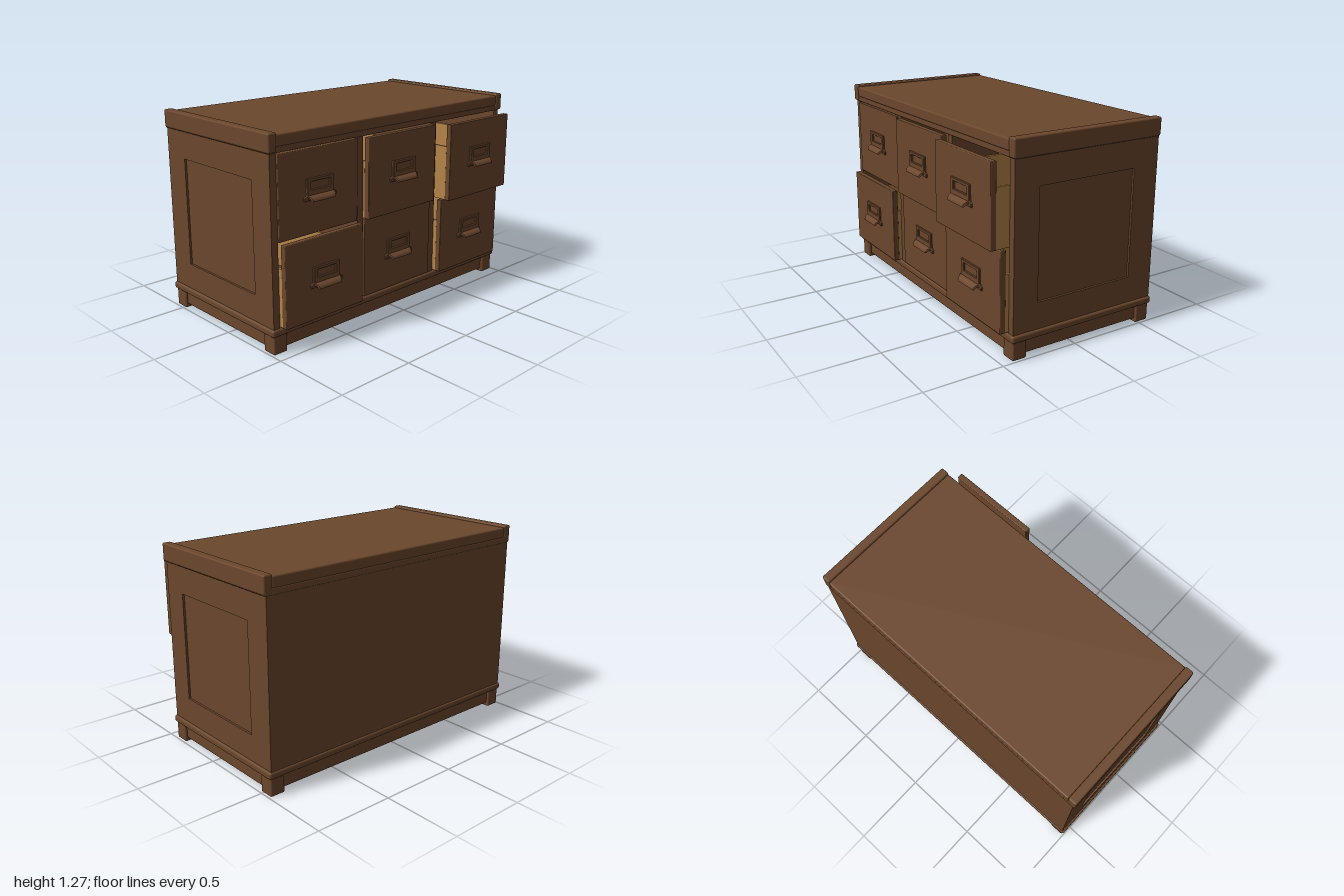
import * as THREE from 'three';
import { RoundedBoxGeometry } from 'three/addons/geometries/RoundedBoxGeometry.js';

export function createModel() {
  const wood = new THREE.MeshStandardMaterial({ color: 0x6b472d });
  wood.name = 'brown wood';
  const lining = new THREE.MeshStandardMaterial({ color: 0xb38449 });
  lining.name = 'pale wood';
  const model = new THREE.Group();
  model.name = 'drawerCabinet';

  const add = (parent, name, geometry, material = wood) => {
    const mesh = new THREE.Mesh(geometry, material);
    mesh.name = name;
    parent.add(mesh);
    return mesh;
  };
  // Box given by its limits on each axis; r rounds the edges
  const block = (parent, name, [x0, x1], [y0, y1], [z0, z1], r = 0, material = wood) => {
    const size = [x1 - x0, y1 - y0, z1 - z0];
    const geometry = r ? new RoundedBoxGeometry(...size, 2, r) : new THREE.BoxGeometry(...size);
    const mesh = add(parent, name, geometry, material);
    mesh.position.set((x0 + x1) / 2, (y0 + y1) / 2, (z0 + z1) / 2);
    return mesh;
  };
  const span = (s, a, b) => (s > 0 ? [a, b] : [-b, -a]);
  const rect = (path, x0, x1, y0, y1) =>
    path.moveTo(x0, y0).lineTo(x1, y0).lineTo(x1, y1).lineTo(x0, y1).closePath();

  // Carcass
  const back = -0.577, front = 0.428;
  block(model, 'backPanel', [-0.985, 0.985], [0.15, 1.18], [back, back + 0.03]);
  block(model, 'carcassFloor', [-0.95, 0.95], [0.11, 0.157], [back + 0.01, 0.42]);
  block(model, 'shelf', [-0.95, 0.95], [0.651, 0.661], [back + 0.02, 0.395]);
  block(model, 'topMoulding', [-0.995, 0.995], [1.16, 1.2], [-0.58, 0.434], 0.008);
  block(model, 'topSlab', [-0.945, 0.945], [1.195, 1.263], [-0.58, 0.44], 0.01);
  block(model, 'baseMoulding', [-1, 1], [0.112, 0.157], [-0.586, 0.44], 0.014);

  for (const s of [1, -1]) {
    block(model, 'topEndCap', span(s, 0.943, 1), [1.165, 1.274], [-0.58, 0.443], 0.01);
    block(model, 'sideCore', span(s, 0.942, 0.973), [0.15, 1.17], [back, front]);
    block(model, 'divider', span(s, 0.3, 0.345), [0.15, 1.17], [back + 0.02, front]);

    // Frame around the recessed side panel
    const frame = new THREE.Shape();
    rect(frame, Math.min(-s * back, -s * front), Math.max(-s * back, -s * front), 0.15, 1.17);
    const hole = new THREE.Path();
    rect(hole, Math.min(0.4 * s, -0.265 * s), Math.max(0.4 * s, -0.265 * s), 0.32, 0.992);
    frame.holes.push(hole);
    const side = new THREE.ExtrudeGeometry(frame, { depth: 0.014, bevelEnabled: false });
    side.rotateY(s * Math.PI / 2);
    add(model, 'sideFrame', side).position.x = s * 0.972;

    // Feet and plinth rails
    for (const z of [[0.335, 0.43], [-0.575, -0.48]])
      block(model, 'foot', span(s, 0.892, 0.988), [0, 0.12], z, 0.01);
    block(model, 'sideRail', span(s, 0.925, 0.973), [0.02, 0.12], [-0.53, 0.385], 0.015);
  }
  block(model, 'frontRail', [-0.94, 0.94], [0.02, 0.12], [0.365, 0.413], 0.015);
  block(model, 'backRail', [-0.94, 0.94], [0.02, 0.12], [-0.56, -0.512], 0.015);

  // Label holder: a plate with a window
  const holder = new THREE.Shape();
  holder.moveTo(-0.115, -0.06).lineTo(0.115, -0.06).lineTo(0.115, -0.045).lineTo(0.095, -0.03)
    .lineTo(0.095, 0.06).lineTo(-0.095, 0.06).lineTo(-0.095, -0.03).lineTo(-0.115, -0.045).closePath();
  const opening = new THREE.Path();
  rect(opening, -0.073, 0.073, -0.005, 0.047);
  holder.holes.push(opening);
  const holderGeometry = new THREE.ExtrudeGeometry(holder, {
    depth: 0.009, bevelEnabled: true, bevelThickness: 0.004, bevelSize: 0.003, bevelSegments: 1,
  });

  // Cup pull: a quarter-ellipse shell, narrower towards the front
  const cup = new THREE.Shape();
  cup.moveTo(0, 0).lineTo(0, 0.033);
  for (let i = 1; i <= 8; i++) {
    const a = i / 8 * Math.PI / 2;
    cup.lineTo(0.044 * Math.sin(a), 0.033 * Math.cos(a));
  }
  cup.lineTo(0.037, 0);
  cup.lineTo(0.02, 0.02);
  cup.closePath();
  const cupGeometry = new THREE.ExtrudeGeometry(cup, { depth: 0.21, bevelEnabled: false });
  cupGeometry.translate(0, 0, -0.105).rotateY(-Math.PI / 2);
  const p = cupGeometry.attributes.position;
  for (let i = 0; i < p.count; i++) p.setX(i, p.getX(i) * (1 - 5 * p.getZ(i)));
  cupGeometry.computeVertexNormals();

  // Drawers: [column x, bottom y, front z]
  const drawers = [
    [-0.645, 0.661, 0.437], [0, 0.661, 0.471], [0.645, 0.661, 0.547],
    [-0.645, 0.16, 0.484], [0, 0.16, 0.437], [0.645, 0.16, 0.484],
  ];
  for (const [x, y, z] of drawers) {
    const drawer = new THREE.Group();
    drawer.name = 'drawer';
    drawer.position.set(x, y, z);
    model.add(drawer);
    block(drawer, 'drawerFront', [-0.294, 0.294], [0, 0.493], [-0.037, 0], 0.005);
    for (const s of [1, -1])
      block(drawer, 'drawerSide', span(s, 0.276, 0.292), [0.002, 0.35], [-0.9, -0.036], 0, lining);
    block(drawer, 'drawerBack', [-0.277, 0.277], [0.002, 0.35], [-0.9, -0.885], 0, lining);
    block(drawer, 'drawerBottom', [-0.277, 0.277], [0.003, 0.02], [-0.89, -0.036]);
    add(drawer, 'labelHolder', holderGeometry).position.set(0, 0.262, 0);
    add(drawer, 'cupPull', cupGeometry).position.set(0, 0.198, 0);
  }
  return model;
}
